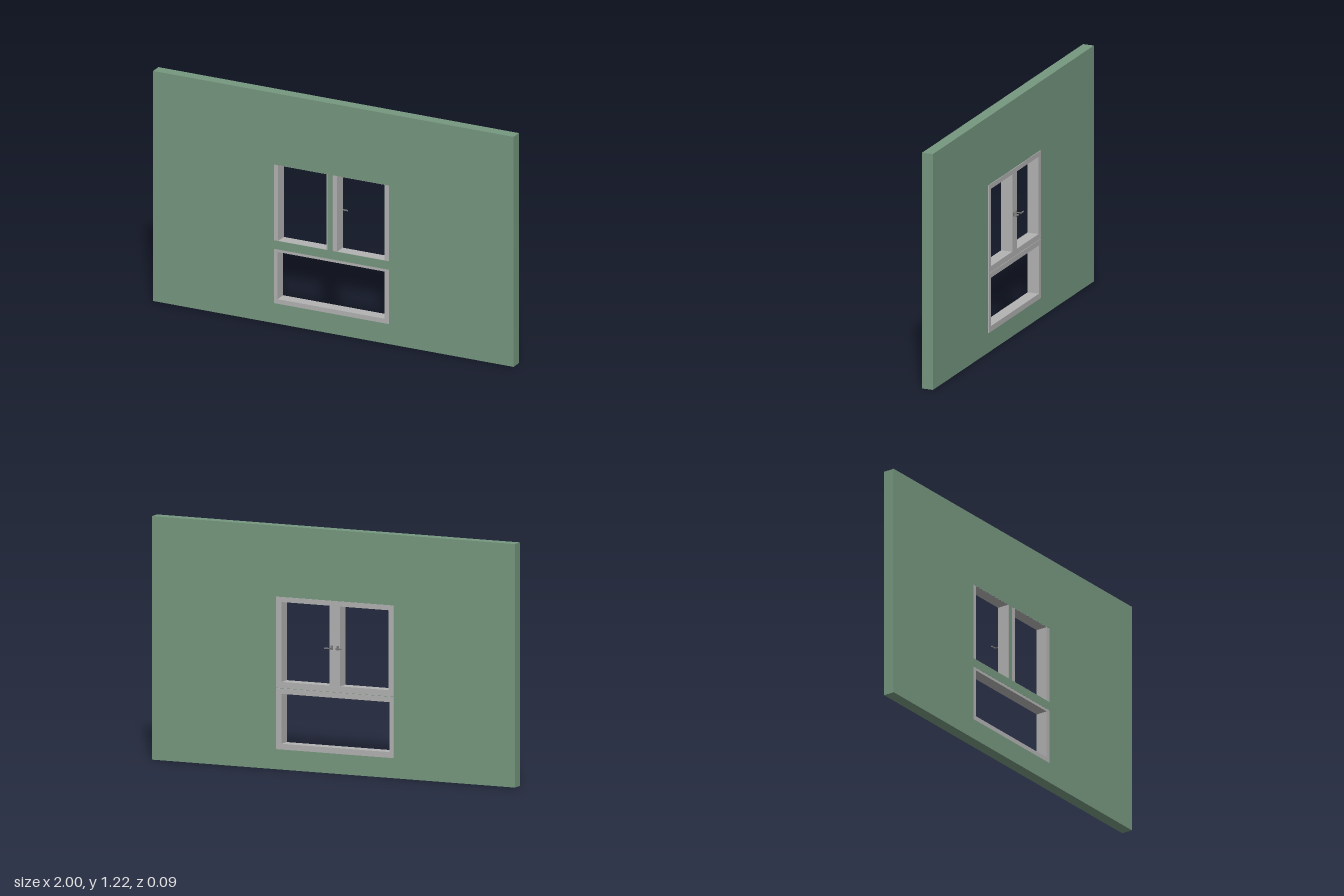
import * as THREE from 'three';

const wallMat = new THREE.MeshStandardMaterial({ color: 0x76987f });
const frameMat = new THREE.MeshStandardMaterial({ color: 0xb2b2b2 });
const handleMat = new THREE.MeshStandardMaterial({ color: 0x777777 });

// Rectangles are [x0, y0, x1, y1]
function rect(Type, [x0, y0, x1, y1]) {
  return new Type([[x0, y0], [x1, y0], [x1, y1], [x0, y1]].map(p => new THREE.Vector2(...p)));
}

// Flat slab with rectangular openings, spanning z0 to z1
function slab(name, outer, holes, z0, z1, material) {
  const shape = rect(THREE.Shape, outer);
  shape.holes = holes.map(h => rect(THREE.Path, h));
  const geometry = new THREE.ExtrudeGeometry(shape, { depth: z1 - z0, bevelEnabled: false });
  geometry.translate(0, 0, z0);
  const mesh = new THREE.Mesh(geometry, material);
  mesh.name = name;
  return mesh;
}

function box(name, size, position) {
  const mesh = new THREE.Mesh(new THREE.BoxGeometry(...size), handleMat);
  mesh.position.set(...position);
  mesh.name = name;
  return mesh;
}

// Window handle: backplate, neck and a lever turned towards side (+1 or -1)
function handle(name, x, side) {
  const group = new THREE.Group();
  group.name = name;
  const neck = new THREE.Mesh(new THREE.CylinderGeometry(0.003, 0.003, 0.025, 12), handleMat);
  neck.name = 'handleNeck';
  neck.rotation.x = Math.PI / 2;
  neck.position.z = -0.0295;
  group.add(
    box('handlePlate', [0.012, 0.022, 0.004], [0, 0, -0.018]),
    neck,
    box('handleLever', [0.034, 0.006, 0.005], [side * 0.014, 0, -0.0425])
  );
  group.position.set(x, 0.63, 0);
  return group;
}

export function createModel() {
  const model = new THREE.Group();
  model.name = 'wallWithWindow';

  // Wall with two upper openings and one lower opening
  model.add(slab('wall', [-1, 0, 1, 1.22], [
    [-0.33, 0.439, -0.032, 0.841],
    [-0.006, 0.439, 0.309, 0.841],
    [-0.33, 0.106, 0.309, 0.394]
  ], -0.014, 0.045, wallMat));

  // Frames run through the wall and stand slightly proud at the back
  const frames = [
    ['rightCasement', [-0.334, 0.409, -0.0105, 0.865], [-0.306, 0.44, -0.039, 0.84]],
    ['leftCasement', [-0.0095, 0.409, 0.314, 0.865], [0.021, 0.44, 0.285, 0.84]],
    ['lowerFrame', [-0.334, 0.101, 0.314, 0.407], [-0.31, 0.13, 0.285, 0.38]]
  ];
  for (const [name, outer, inner] of frames) {
    model.add(slab(name, outer, [inner], -0.017, 0.0442, frameMat));
  }

  // Handles on the meeting stiles
  model.add(handle('rightHandle', -0.027, -1), handle('leftHandle', 0.006, 1));
  return model;
}
